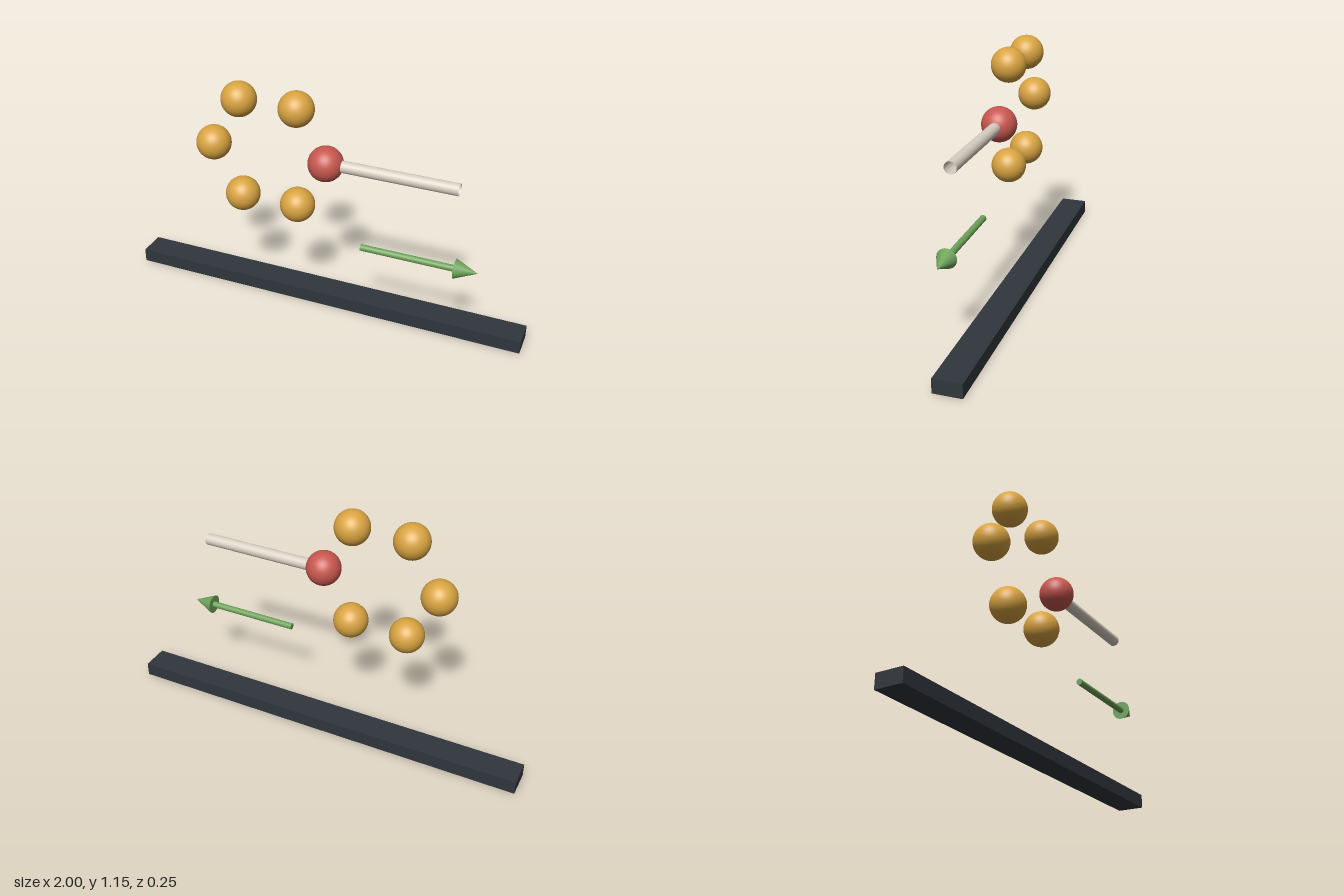
import * as THREE from 'three';

const material = (name, color, side = THREE.FrontSide) => {
  const m = new THREE.MeshStandardMaterial({ color, side });
  m.name = name;
  return m;
};

export function createModel() {
  const model = new THREE.Group();
  model.name = 'ringDisplay';

  const gold = material('gold', 0xd9a441);
  const red = material('red', 0xc8574f);
  const ivory = material('ivory', 0xd9d0c3, THREE.DoubleSide);
  const green = material('green', 0x6fa35a);
  const slate = material('slate', 0x30363d);

  const add = (name, geometry, mat, x, y, z, parent = model) => {
    const mesh = new THREE.Mesh(geometry, mat);
    mesh.name = name;
    mesh.position.set(x, y, z);
    parent.add(mesh);
    return mesh;
  };

  // Cylinder lying along x, between two x positions
  const rod = (name, x0, x1, rBase, rTip, mat, y, z, open = false, parent = model) => {
    const g = new THREE.CylinderGeometry(rTip, rBase, x1 - x0, 32, 1, open);
    g.rotateZ(-Math.PI / 2);
    return add(name, g, mat, (x0 + x1) / 2, y, z, parent);
  };

  // Base bar
  add('baseBar', new THREE.BoxGeometry(2, 0.067, 0.132), slate, 0, 0.0335, -0.06);

  // Hexagonal ring of balls; the one at angle zero is red
  const ring = new THREE.Group();
  ring.name = 'ballRing';
  ring.position.set(-0.237, 0.82, 0.043);
  model.add(ring);
  const ball = new THREE.SphereGeometry(0.0825, 40, 28);
  for (let i = 0; i < 6; i++) {
    const a = (i * Math.PI) / 3;
    add(i ? 'ringBall' : 'linkBall', ball, i ? gold : red,
      0.282 * Math.cos(a), 0.282 * Math.sin(a), 0, ring);
  }

  // Open hollow tube leaving the red ball
  rod('linkTube', 0.1, 0.663, 0.028, 0.028, ivory, 0.82, 0.04, true);

  // Direction arrow
  const arrow = new THREE.Group();
  arrow.name = 'arrow';
  model.add(arrow);
  rod('arrowShaft', 0.228, 0.676, 0.0155, 0.0155, green, 0.428, 0.06, false, arrow);
  rod('arrowHead', 0.675, 0.78, 0.046, 0, green, 0.428, 0.06, false, arrow);

  return model;
}
